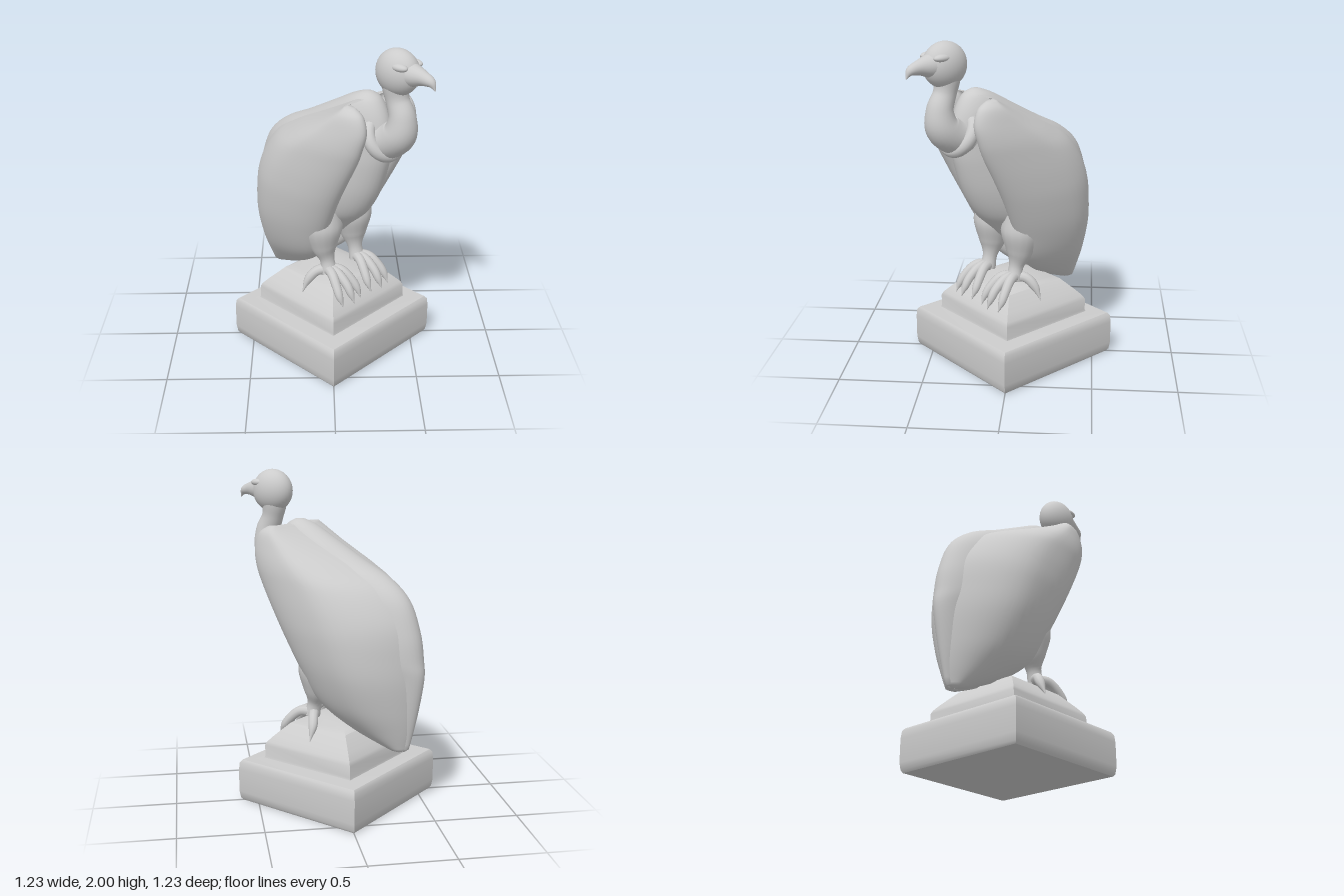
import * as THREE from 'three';
import { mergeVertices, toCreasedNormals } from 'three/addons/utils/BufferGeometryUtils.js';

const material = new THREE.MeshStandardMaterial({ color: 0xcccccc, roughness: 0.8 });

function add(parent, name, geometry) {
  const mesh = new THREE.Mesh(geometry, material);
  mesh.name = name;
  parent.add(mesh);
  return mesh;
}

// Smooth interpolation through rows of numbers, t in 0..1
function sample(rows, t) {
  const n = rows.length - 1;
  const i = Math.min(Math.floor(t * n), n - 1);
  const w = t * n - i;
  const at = (k) => rows[Math.max(0, Math.min(n, k))];
  return rows[i].map((b, c) => {
    const a = at(i - 1)[c], d = at(i + 1)[c], e = at(i + 2)[c];
    return b + 0.5 * w * (d - a + w * (2 * a - 5 * b + 4 * d - e + w * (3 * (b - d) + e - a)));
  });
}

// Horizontal slices, bottom to top: [y, front z, back z, centre x, half width]
// bend pulls the rear of each slice in toward the middle
function slices(rows, { side = 1, bend = 0, rings = 60, sides = 48 } = {}) {
  const pos = [], index = [];
  for (let i = 0; i <= rings; i++) {
    const [y, front, back, cx, half] = sample(rows, i / rings);
    const shrink = i === 0 || i === rings ? 0 : 1;
    for (let j = 0; j < sides; j++) {
      const a = (j / sides) * Math.PI * 2;
      const rear = Math.max(0, -Math.cos(a));
      const pull = bend * rear * rear * Math.min(1, cx / 0.2);
      const x = side * (cx - pull + shrink * half * Math.sin(side * a));
      const z = (front + back) / 2 + shrink * ((front - back) / 2) * Math.cos(a);
      pos.push(x, y, z);
      if (i === rings) continue;
      const k = i * sides + j, m = i * sides + ((j + 1) % sides);
      index.push(k, m, k + sides, m, m + sides, k + sides);
    }
  }
  const g = new THREE.BufferGeometry();
  g.setAttribute('position', new THREE.Float32BufferAttribute(pos, 3));
  g.setIndex(index);
  g.computeVertexNormals();
  return g;
}

// Tube with changing radius through points [x, y, z, radius]
function taper(points, rings = 28, sides = 16) {
  const curve = new THREE.CatmullRomCurve3(points.map((p) => new THREE.Vector3(p[0], p[1], p[2])));
  let g = new THREE.TubeGeometry(curve, rings, 1, sides);
  const p = g.attributes.position, v = new THREE.Vector3();
  const radii = points.map((q) => [q[3]]);
  for (let i = 0; i <= rings; i++) {
    const u = i / rings;
    const centre = curve.getPointAt(u);
    const r = Math.max(0.001, sample(radii, curve.getUtoTmapping(u))[0]);
    for (let j = 0; j <= sides; j++) {
      const k = i * (sides + 1) + j;
      v.fromBufferAttribute(p, k).sub(centre).multiplyScalar(r).add(centre);
      p.setXYZ(k, v.x, v.y, v.z);
    }
  }
  g.deleteAttribute('uv');
  g.deleteAttribute('normal');
  g = mergeVertices(g, 1e-5);
  g.computeVertexNormals();
  return g;
}

function ball(parent, name, [x, y, z], [sx, sy, sz]) {
  const mesh = add(parent, name, new THREE.SphereGeometry(1, 32, 24));
  mesh.position.set(x, y, z);
  mesh.scale.set(sx, sy, sz);
  return mesh;
}

export function createModel() {
  const model = new THREE.Group();
  model.name = 'birdOnPlinth';

  // Square stepped plinth, corners on the axes
  const profile = [
    [0, 0], [0.59, 0], [0.605, 0.015], [0.614, 0.06], [0.614, 0.2], [0.608, 0.245], [0.59, 0.262],
    [0.455, 0.268], [0.45, 0.28], [0.45, 0.35], [0.435, 0.372], [0.39, 0.41], [0.29, 0.485],
    [0.24, 0.505], [0.14, 0.535], [0, 0.545],
  ].map(([r, y]) => new THREE.Vector2(r, y));
  add(model, 'plinth', toCreasedNormals(new THREE.LatheGeometry(profile, 4), 0.8));

  // The bird is built facing +z, then turned to face a plinth side
  const bird = new THREE.Group();
  bird.name = 'bird';
  bird.rotation.y = Math.PI / 4;
  model.add(bird);

  // Breast, back ridge and tail
  add(bird, 'body', slices([
    [0.38, -0.46, -0.51, 0, 0.02],
    [0.60, -0.10, -0.565, 0, 0.09],
    [0.83, 0.14, -0.605, 0, 0.14],
    [0.95, 0.27, -0.595, 0, 0.185],
    [1.10, 0.36, -0.57, 0, 0.2],
    [1.28, 0.42, -0.50, 0, 0.19],
    [1.40, 0.44, -0.37, 0, 0.17],
    [1.50, 0.44, -0.17, 0, 0.15],
    [1.60, 0.41, 0.02, 0, 0.12],
    [1.68, 0.36, 0.17, 0, 0.075],
    [1.715, 0.30, 0.26, 0, 0.02],
  ]));

  for (const side of [1, -1]) {
    const label = side > 0 ? 'left' : 'right';

    // Folded wing, high at the shoulder and closing over the tail
    add(bird, label + 'Wing', slices([
      [0.38, -0.43, -0.50, 0.02, 0.02],
      [0.50, -0.16, -0.53, 0.07, 0.07],
      [0.65, 0.03, -0.55, 0.13, 0.11],
      [0.85, 0.13, -0.56, 0.18, 0.135],
      [1.05, 0.23, -0.54, 0.21, 0.14],
      [1.20, 0.31, -0.49, 0.22, 0.135],
      [1.35, 0.39, -0.38, 0.22, 0.125],
      [1.45, 0.43, -0.22, 0.22, 0.11],
      [1.55, 0.45, -0.02, 0.21, 0.09],
      [1.64, 0.42, 0.17, 0.205, 0.06],
      [1.685, 0.35, 0.27, 0.2, 0.02],
    ], { side, bend: 0.19 }));

    // Feathered thigh running into a short leg
    add(bird, label + 'Leg', taper([
      [side * 0.12, 1.0, 0.06, 0.09],
      [side * 0.13, 0.84, 0.05, 0.12],
      [side * 0.13, 0.70, 0.06, 0.08],
      [side * 0.125, 0.62, 0.08, 0.045],
      [side * 0.125, 0.54, 0.10, 0.05],
    ]));

    // Three front toes gripping the slope, one toe out to the side
    const foot = new THREE.Group();
    foot.name = label + 'Foot';
    bird.add(foot);
    for (const spread of [-0.055, 0, 0.055]) {
      const x = 0.125;
      const reach = spread === 0 ? 0.02 : 0;
      add(foot, 'toe', taper([
        [side * x, 0.555, 0.08, 0.035],
        [side * (x + spread * 0.7), 0.56, 0.16, 0.03],
        [side * (x + spread * 1.2), 0.505, 0.225 + reach, 0.027],
        [side * (x + spread * 1.4), 0.455, 0.26 + reach, 0.022],
        [side * (x + spread * 1.4), 0.40, 0.29 + reach, 0.002],
      ], 18, 10));
    }
    add(foot, 'sideToe', taper([
      [side * 0.12, 0.555, 0.09, 0.035],
      [side * 0.18, 0.55, 0.05, 0.03],
      [side * 0.225, 0.50, 0.02, 0.027],
      [side * 0.27, 0.42, 0.01, 0.003],
    ], 18, 10));

    // Brow above the eye
    ball(bird, label + 'Brow', [side * 0.062, 1.92, 0.55], [0.03, 0.022, 0.055]);
  }

  // Curved neck
  add(bird, 'neck', taper([
    [0, 1.46, 0.25, 0.11],
    [0, 1.45, 0.41, 0.105],
    [0, 1.52, 0.515, 0.098],
    [0, 1.62, 0.53, 0.078],
    [0, 1.71, 0.495, 0.066],
    [0, 1.78, 0.48, 0.075],
    [0, 1.86, 0.48, 0.085],
  ], 40, 24));

  // Ruff of feathers around the base of the neck
  const ruff = add(bird, 'ruff', new THREE.TorusGeometry(0.11, 0.038, 16, 40));
  ruff.position.set(0, 1.47, 0.40);
  ruff.rotation.x = -0.55;

  // Head and hooked beak
  ball(bird, 'head', [0, 1.87, 0.49], [0.1, 0.13, 0.135]);
  add(bird, 'beak', taper([
    [0, 1.875, 0.52, 0.085],
    [0, 1.875, 0.6, 0.064],
    [0, 1.872, 0.67, 0.04],
    [0, 1.858, 0.72, 0.026],
    [0, 1.82, 0.748, 0.003],
  ], 28, 20));

  return model;
}
